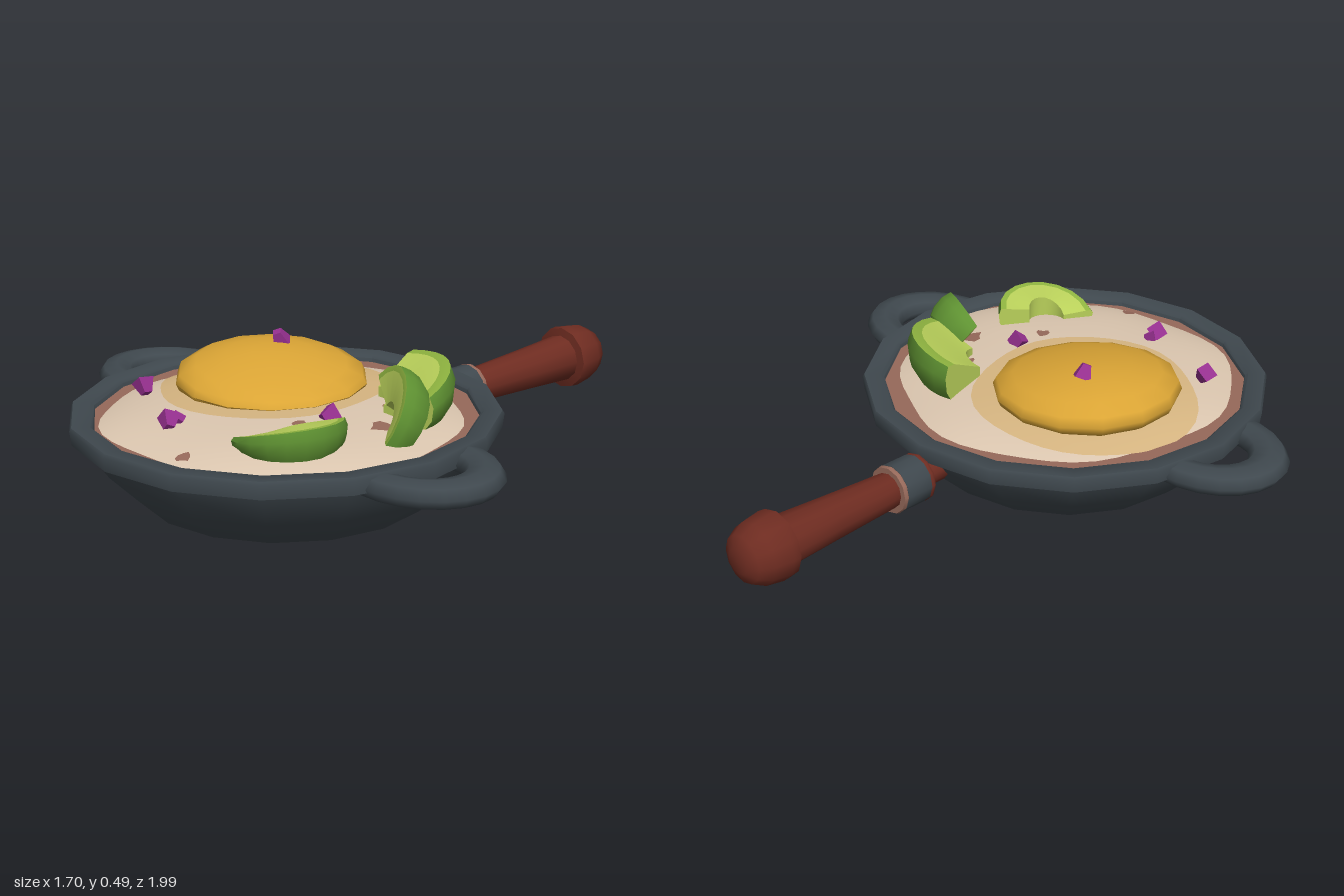
import * as THREE from 'three';
import { toCreasedNormals } from 'three/addons/utils/BufferGeometryUtils.js';

const mat = (name, color, side = THREE.FrontSide) => {
  const m = new THREE.MeshStandardMaterial({ color, side });
  m.name = name;
  return m;
};
const iron = mat('iron', 0x3f484e);
const crust = mat('crust', 0x96695a);
const cream = mat('cream', 0xdcc7b0);
const halo = mat('yolkHalo', 0xd6b581);
const yolk = mat('yolk', 0xdba535);
const wood = mat('redWood', 0x6e2c21);
const flesh = mat('avocadoFlesh', 0xb9d05a, THREE.DoubleSide);
const edge = mat('avocadoEdge', 0x8fb440, THREE.DoubleSide);
const skin = mat('avocadoSkin', 0x5f9232, THREE.DoubleSide);
const purple = mat('onionPurple', 0x96308f);

const PAN_Z = 0.345;
const EGG = { x: 0.015, z: 0.36 };

function add(parent, name, geometry, material) {
  const mesh = new THREE.Mesh(geometry, material);
  mesh.name = name;
  parent.add(mesh);
  return mesh;
}

function lathe(profile, sides, crease = 0.75) {
  const points = profile.map(([r, y]) => new THREE.Vector2(r, y));
  return toCreasedNormals(new THREE.LatheGeometry(points, sides), crease);
}

// Lathe whose vertices are moved by a rule
function mouldedLathe(profile, sides, rule) {
  const points = profile.map(([r, y]) => new THREE.Vector2(r, y));
  const geo = new THREE.LatheGeometry(points, sides);
  const p = geo.attributes.position;
  const v = new THREE.Vector3();
  for (let i = 0; i < p.count; i++) {
    v.fromBufferAttribute(p, i);
    rule(v);
    p.setXYZ(i, v.x, v.y, v.z);
  }
  return toCreasedNormals(geo, 0.9);
}

// Wavy outline and domed height of the egg white
const eggRadius = (a) => 0.558 + 0.012 * Math.sin(3 * a + 1) + 0.01 * Math.sin(7 * a);
function eggHeight(x, z) {
  const dx = x - EGG.x, dz = z - EGG.z;
  const t = Math.hypot(dx, dz) / eggRadius(Math.atan2(dz, dx));
  return 0.28 + 0.053 * (1 - t ** 4);
}

// Flat patch draped over the egg white
function drapedPatch(cx, cz, radius, wobble, rings, sides) {
  const profile = [];
  for (let i = rings; i >= 0; i--) profile.push([i / rings, 0]);
  return mouldedLathe(profile, sides, (v) => {
    const a = Math.atan2(v.z, v.x);
    const r = radius * (1 + wobble * Math.sin(3 * a + cx * 9) + wobble * 0.6 * Math.sin(5 * a));
    v.x = cx + v.x * r;
    v.z = cz + v.z * r;
    v.y = eggHeight(v.x, v.z) + 0.005;
  });
}

// Curved wedge: a cross-section swept along an arc, flesh on top and skin outside
function avocadoSlice({ ro, ri, from, to, h0, h1, inner, bulge = 0 }) {
  const steps = 9;
  const lists = [[], [], []];
  const section = (i) => {
    const t = i / steps;
    const a = THREE.MathUtils.degToRad(from + (to - from) * t);
    const h = h0 + (h1 - h0) * t + bulge * Math.sin(Math.PI * t);
    return [[ri, 0], [ri, h * inner], [ro * 0.84, h * 0.97], [ro * 0.95, h], [ro, h * 0.7], [ro * 0.98, h * 0.3], [ro * 0.9, 0]]
      .map(([r, y]) => [Math.cos(a) * r, y, Math.sin(a) * r]);
  };
  const strips = [0, 0, 1, 2, 2, 2];
  for (let i = 0; i < steps; i++) {
    const a = section(i), b = section(i + 1);
    strips.forEach((m, j) => lists[m].push(a[j], b[j], b[j + 1], a[j], b[j + 1], a[j + 1]));
  }
  const start = section(0), end = section(steps);
  for (let j = 1; j < start.length - 1; j++) {
    lists[0].push(start[0], start[j], start[j + 1], end[0], end[j + 1], end[j]);
  }
  let geo = new THREE.BufferGeometry();
  geo.setAttribute('position', new THREE.Float32BufferAttribute(lists.flat(2), 3));
  geo = toCreasedNormals(geo, 0.7);
  let offset = 0;
  lists.forEach((list, m) => {
    geo.addGroup(offset, list.length, m);
    offset += list.length;
  });
  return geo;
}

export function createModel() {
  const model = new THREE.Group();
  model.name = 'skilletWithEgg';

  // Pan bowl and rim
  const bowl = add(model, 'pan', lathe([
    [0, 0], [0.2, 0.003], [0.3, 0.013], [0.44, 0.05], [0.54, 0.145], [0.59, 0.215], [0.605, 0.247],
    [0.645, 0.258], [0.65, 0.3], [0.644, 0.31], [0.59, 0.308], [0.58, 0.3], [0.575, 0.27],
  ], 16), iron);
  bowl.position.z = PAN_Z;

  // Loop handles on both sides
  for (const side of [1, -1]) {
    const loop = new THREE.TorusGeometry(0.192, 0.066, 8, 12, Math.PI + 0.2);
    loop.rotateZ(-Math.PI / 2 - 0.1).rotateX(Math.PI / 2).scale(1, 0.6, 0.84);
    const mesh = add(model, side > 0 ? 'leftLoopHandle' : 'rightLoopHandle', loop, iron);
    mesh.position.set(side * 0.592, 0.268, PAN_Z);
    mesh.rotation.y = side > 0 ? 0 : Math.PI;
  }

  // Long handle with collar, pointing to the back
  const handle = new THREE.Group();
  handle.name = 'longHandle';
  handle.position.set(0, 0.202, -0.22);
  handle.rotation.x = -Math.PI / 2 + 0.03;
  model.add(handle);
  add(handle, 'handleTang', lathe([[0, 0], [0.04, 0], [0.042, 0.1]], 10), wood);
  add(handle, 'collar', lathe([[0.04, 0.1], [0.076, 0.1], [0.076, 0.195], [0.04, 0.195]], 12), iron);
  for (const y of [0.084, 0.193]) {
    add(handle, 'collarEdge', lathe([[0.04, y], [0.074, y], [0.077, y + 0.008], [0.074, y + 0.017], [0.04, y + 0.017]], 12),
      y < 0.1 ? wood : crust);
  }
  add(handle, 'grip', lathe([
    [0.055, 0.19], [0.058, 0.24], [0.068, 0.45], [0.078, 0.63], [0.104, 0.635], [0.106, 0.66],
    [0.097, 0.72], [0.075, 0.762], [0.04, 0.778], [0, 0.78],
  ], 12), wood);

  // Browned base and egg white
  const base = add(model, 'brownedBase', lathe([[0.59, 0.288], [0, 0.288]], 16), crust);
  base.position.z = PAN_Z;
  const rings = [1, 0.97, 0.93, 0.87, 0.8, 0.7, 0.55, 0.35, 0].map((t) => [t, 0]);
  add(model, 'eggWhite', mouldedLathe(rings, 48, (v) => {
    const r = eggRadius(Math.atan2(v.z, v.x));
    v.x = EGG.x + v.x * r;
    v.z = EGG.z + v.z * r;
    v.y = eggHeight(v.x, v.z);
  }), cream);
  for (const [x, z, r] of [[0.25, 0.16, 0.018], [0.37, 0.29, 0.035], [0.21, 0.465, 0.022], [0.15, 0.83, 0.022]]) {
    add(model, 'brownSpeck', drapedPatch(x, z, r, 0.2, 1, 9), crust);
  }

  // Yolk with its spread edge
  add(model, 'yolkHalo', drapedPatch(-0.15, 0.28, 0.352, 0.025, 8, 36), halo);
  const yolkMesh = add(model, 'yolk', mouldedLathe([
    [0.25, 0.31], [0.287, 0.33], [0.296, 0.35], [0.285, 0.375], [0.235, 0.4], [0.14, 0.423], [0.06, 0.433], [0, 0.434],
  ], 14, (v) => {
    v.y += (v.y - 0.31) * (-0.9 * v.x - 0.3 * v.z);
  }), yolk);
  yolkMesh.position.set(-0.155, 0, 0.277);

  // Avocado slices
  const slices = new THREE.Group();
  slices.name = 'avocadoSlices';
  model.add(slices);
  const avocado = [flesh, edge, skin];
  const backSlice = add(slices, 'backSlice', avocadoSlice(
    { ro: 0.292, ri: 0.105, from: -100, to: -8, h0: 0.125, h1: 0.1, inner: 0.4, bulge: 0.03 }), avocado);
  backSlice.position.set(0.175, 0.31, 0.22);
  const frontSlice = add(slices, 'frontSlice', avocadoSlice(
    { ro: 0.165, ri: 0.06, from: -55, to: 118, h0: 0.075, h1: 0.035, inner: 0.85, bulge: 0.035 }), avocado);
  frontSlice.position.set(0.275, 0.31, 0.555);

  // Middle slice stands up and leans on the others
  const middle = add(slices, 'middleSlice', avocadoSlice(
    { ro: 0.155, ri: 0.05, from: -85, to: 85, h0: 0.07, h1: 0.07, inner: 0.55, bulge: 0.03 }), avocado);
  const outward = new THREE.Vector3(0.65, 0.62, -0.3).normalize();
  const up = new THREE.Vector3(-0.3, 0.5, 0.8);
  up.addScaledVector(outward, -up.dot(outward)).normalize();
  const across = new THREE.Vector3().crossVectors(outward, up);
  middle.quaternion.setFromRotationMatrix(new THREE.Matrix4().makeBasis(outward, up, across));
  middle.position.set(0.365, 0.32, 0.235);

  // Chopped onion bits
  const bits = [[-0.21, 0.45, 0.2], [0.22, 0.34, 0.365], [-0.36, 0.338, 0.605], [-0.05, 0.335, 0.735], [-0.06, 0.33, 0.7]];
  bits.forEach(([x, y, z], i) => {
    const geo = new THREE.CylinderGeometry(0.018, 0.036, 0.045, 4).toNonIndexed();
    geo.computeVertexNormals();
    const bit = add(model, 'onionBit', geo, purple);
    bit.position.set(x, y, z);
    bit.rotation.set(0.5 + i, i * 1.3, 0.4 * i);
    if (i === 4) bit.scale.setScalar(0.7);
  });

  return model;
}
